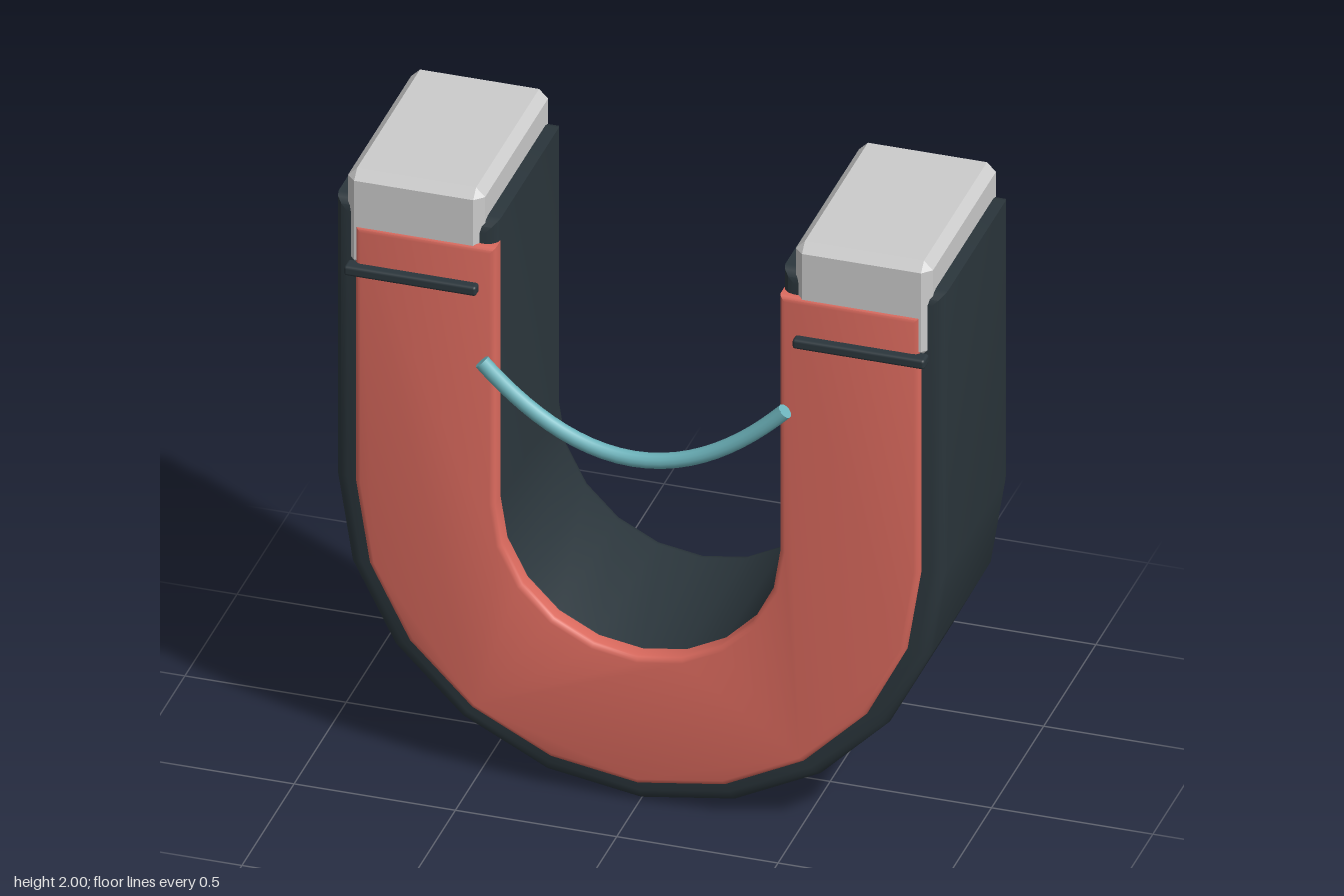
import * as THREE from 'three';
import { toCreasedNormals } from 'three/addons/utils/BufferGeometryUtils.js';
import { RoundedBoxGeometry } from 'three/addons/geometries/RoundedBoxGeometry.js';
import { ConvexGeometry } from 'three/addons/geometries/ConvexGeometry.js';

const CENTRE_Y = 0.945; // centre of the bend
const ARC_SIDES = 10;

const paint = (color) => new THREE.MeshStandardMaterial({ color });

function addMesh(parent, name, geometry, material, x = 0, y = 0, z = 0) {
  const mesh = new THREE.Mesh(geometry, material);
  mesh.name = name;
  mesh.position.set(x, y, z);
  parent.add(mesh);
  return mesh;
}

// Bevelled horseshoe slab between two radii, from zBack to zFront
function horseshoe(outer, inner, top, zBack, zFront, bevel) {
  const arc = (r) => Array.from({ length: ARC_SIDES + 1 }, (_, i) => {
    const a = (Math.PI * i) / ARC_SIDES;
    return new THREE.Vector2(r * Math.cos(a), CENTRE_Y - r * Math.sin(a));
  });
  const shape = new THREE.Shape([
    new THREE.Vector2(outer, top), ...arc(outer), new THREE.Vector2(-outer, top),
    new THREE.Vector2(-inner, top), ...arc(inner).reverse(), new THREE.Vector2(inner, top),
  ]);
  const geometry = new THREE.ExtrudeGeometry(shape, {
    depth: zFront - zBack - 2 * bevel,
    bevelThickness: bevel,
    bevelSize: bevel,
    bevelOffset: -bevel,
    bevelSegments: 3,
  });
  geometry.translate(0, 0, zBack + bevel);
  return toCreasedNormals(geometry, 0.65);
}

// Box with every edge cut by a flat chamfer
function chamferBox(w, h, d, c) {
  const points = [];
  for (const sx of [-1, 1]) for (const sy of [-1, 1]) for (const sz of [-1, 1]) {
    for (let axis = 0; axis < 3; axis++) {
      const p = [w / 2, h / 2, d / 2].map((s, i) => (i === axis ? s : s - c));
      points.push(new THREE.Vector3(sx * p[0], sy * p[1], sz * p[2]));
    }
  }
  return new ConvexGeometry(points);
}

export function createModel() {
  const model = new THREE.Group();
  model.name = 'horseshoeMagnet';

  const dark = paint(0x2b363c);
  const red = paint(0xd9695d);
  const grey = paint(0xcccccc);
  const teal = paint(0x6db4bc);

  addMesh(model, 'body', horseshoe(0.945, 0.44, 1.895, -0.345, 0.285, 0.04), dark);
  addMesh(model, 'frontPanel', horseshoe(0.875, 0.44, 1.82, 0.235, 0.307, 0.018), red);

  // Pole caps and the thin bars across each leg
  for (const side of [-1, 1]) {
    const name = side > 0 ? 'left' : 'right';
    addMesh(model, name + 'PoleCap', chamferBox(0.425, 0.325, 0.66, 0.028), grey, side * 0.694, 1.8375, -0.03);
    addMesh(model, name + 'Bar', new RoundedBoxGeometry(0.41, 0.032, 0.05, 2, 0.009), dark, side * 0.695, 1.68, 0.312);
  }

  // Sagging cord between the legs, with closed ends
  const cord = new THREE.Group();
  cord.name = 'cord';
  model.add(cord);
  const curve = new THREE.QuadraticBezierCurve3(
    new THREE.Vector3(-0.47, 1.45, 0.34),
    new THREE.Vector3(0, 0.955, 0.34),
    new THREE.Vector3(0.47, 1.45, 0.34),
  );
  addMesh(cord, 'cordTube', new THREE.TubeGeometry(curve, 24, 0.024, 12), teal);
  for (const t of [0, 1]) {
    const p = curve.getPoint(t);
    const outward = curve.getTangent(t).multiplyScalar(t ? 1 : -1);
    const end = addMesh(cord, 'cordEnd', new THREE.CircleGeometry(0.024, 12), teal, p.x, p.y, p.z);
    end.quaternion.setFromUnitVectors(new THREE.Vector3(0, 0, 1), outward);
  }

  return model;
}
